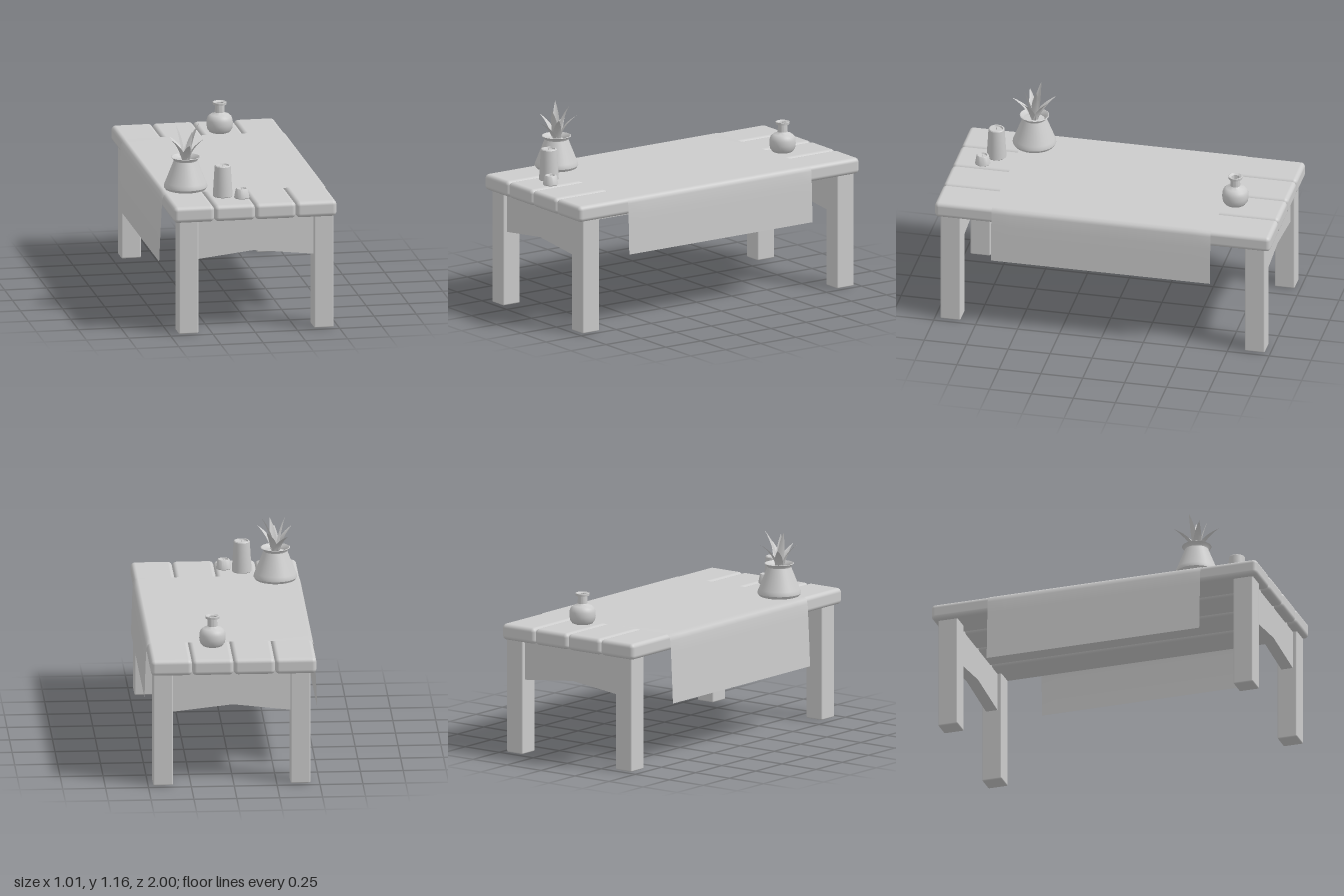
import * as THREE from 'three';
import { RoundedBoxGeometry } from 'three/addons/geometries/RoundedBoxGeometry.js';
import { toCreasedNormals } from 'three/addons/utils/BufferGeometryUtils.js';

const grey = new THREE.MeshStandardMaterial({ color: 0xcccccc });
const greyThin = new THREE.MeshStandardMaterial({ color: 0xcccccc, side: THREE.DoubleSide });
const TOP = 0.768;

function add(parent, name, geometry, x = 0, y = 0, z = 0, material = grey) {
  const mesh = new THREE.Mesh(geometry, material);
  mesh.name = name;
  mesh.position.set(x, y, z);
  parent.add(mesh);
  return mesh;
}

// Turned shape from [radius, height] pairs, listed from the base up
function turned(points, sides = 32) {
  const profile = points.map(([r, y]) => new THREE.Vector2(r, y));
  return toCreasedNormals(new THREE.LatheGeometry(profile, sides), 0.6);
}

// Board between two legs with a shallow peaked underside
function apronGeometry(thickness) {
  const s = new THREE.Shape();
  s.moveTo(-0.34, 0.44);
  s.lineTo(0.005, 0.48);
  s.lineTo(0.365, 0.44);
  s.lineTo(0.365, 0.69);
  s.lineTo(-0.34, 0.69);
  const g = new THREE.ExtrudeGeometry(s, { depth: thickness, bevelEnabled: false });
  return g.translate(0, 0, -thickness / 2);
}

// Cloth draped over the planks: a plane bent along a cross-section path
function clothGeometry() {
  const path = [
    [-0.505, 0.362], [-0.499, 0.5], [-0.491, 0.66], [-0.487, 0.73], [-0.479, 0.757], [-0.46, 0.771],
    [0.462, 0.771], [0.482, 0.762], [0.491, 0.74], [0.495, 0.66], [0.499, 0.55], [0.502, 0.437],
  ];
  const rows = 12;
  const g = new THREE.PlaneGeometry(1, 1, path.length - 1, rows);
  const p = g.attributes.position;
  for (let i = 0; i < p.count; i++) {
    const [x, y] = path[i % path.length];
    const t = Math.floor(i / path.length) / rows;
    p.setXYZ(i, x, y, -0.648 + t * 1.306);
  }
  g.computeVertexNormals();
  return g;
}

// Folded, tapering leaf that curves outward from the root to its tip
function leafGeometry(tip, width) {
  const out = new THREE.Vector3(tip.x, 0, tip.z).normalize();
  const side = new THREE.Vector3(-out.z, 0, out.x);
  const root = out.clone().multiplyScalar(0.012).setY(0.15);
  const bend = out.clone().multiplyScalar(0.035).setY(0.15 + (tip.y - 0.15) * 0.65);
  const curve = new THREE.QuadraticBezierCurve3(root, bend, tip);
  const rows = 8;
  const g = new THREE.PlaneGeometry(1, 1, 2, rows);
  const p = g.attributes.position;
  for (let i = 0; i < p.count; i++) {
    const t = Math.floor(i / 3) / rows;
    const s = (i % 3) - 1;
    const half = width * Math.sin(Math.PI * (0.28 + 0.72 * t));
    const v = curve.getPoint(t).addScaledVector(side, s * half).addScaledVector(out, Math.abs(s) * -half * 0.35);
    p.setXYZ(i, v.x, v.y, v.z);
  }
  g.computeVertexNormals();
  return g;
}

// Tapered candle with a shallow dished top and a wick
function candle(parent, name, x, z, r0, r1, h) {
  const g = new THREE.Group();
  g.name = name;
  g.position.set(x, TOP, z);
  add(g, 'wax', turned([
    [0, 0], [r0 - 0.004, 0], [r0, 0.004], [r1, h - 0.005], [r1 - 0.004, h],
    [r1 - 0.01, h], [r1 - 0.014, h - 0.008], [0, h - 0.01],
  ], 24));
  add(g, 'wick', new THREE.CylinderGeometry(0.002, 0.002, 0.015, 6), 0, h - 0.004, 0);
  parent.add(g);
}

export function createModel() {
  const model = new THREE.Group();
  model.name = 'table';

  // Table top of four long planks
  for (let i = 0; i < 4; i++) {
    add(model, 'plank', new RoundedBoxGeometry(0.24, 0.095, 2, 4, 0.025), -0.36 + i * 0.2415, 0.7205, 0);
  }

  // Legs and end aprons
  for (const z of [-0.907, 0.907]) {
    for (const x of [-0.388, 0.413]) {
      add(model, 'leg', new RoundedBoxGeometry(0.116, 0.69, 0.12, 2, 0.008), x, 0.345, z);
    }
    add(model, 'apron', apronGeometry(0.07), 0, 0, z);
  }

  add(model, 'cloth', clothGeometry(), 0, 0, 0, greyThin);

  // Potted plant
  const plant = new THREE.Group();
  plant.name = 'pottedPlant';
  plant.position.set(-0.335, TOP + 0.002, 0.585);
  add(plant, 'pot', turned([
    [0, 0], [0.1, 0], [0.118, 0.006], [0.127, 0.02], [0.126, 0.032], [0.12, 0.046], [0.069, 0.175],
    [0.071, 0.182], [0.086, 0.196], [0.082, 0.198], [0.064, 0.182], [0.06, 0.17], [0, 0.168],
  ]));
  const tips = [
    [0, 0.295, 0.135], [-0.1, 0.315, 0.05], [0.104, 0.315, 0.055], [0.06, 0.315, -0.105], [-0.075, 0.295, -0.115],
    [-0.055, 0.39, -0.03], [0.085, 0.386, -0.03], [0.03, 0.36, 0.055],
  ];
  tips.forEach((t, i) => {
    add(plant, 'leaf', leafGeometry(new THREE.Vector3(...t), i < 5 ? 0.024 : 0.022), 0, 0, 0, greyThin);
  });
  model.add(plant);

  // Candles
  candle(model, 'tallCandle', -0.15, 0.77, 0.058, 0.047, 0.186);
  candle(model, 'shortCandle', -0.048, 0.83, 0.045, 0.036, 0.057);

  // Round bottle with a narrow neck and a wide lip
  add(model, 'bottle', turned([
    [0, 0], [0.045, 0], [0.06, 0.006], [0.073, 0.024], [0.077, 0.05], [0.076, 0.075], [0.069, 0.096],
    [0.054, 0.109], [0.036, 0.115], [0.029, 0.122], [0.027, 0.168], [0.04, 0.168], [0.041, 0.182],
    [0.037, 0.184], [0.024, 0.176], [0.02, 0.13], [0, 0.125],
  ]), 0.11, TOP, -0.712);

  return model;
}
